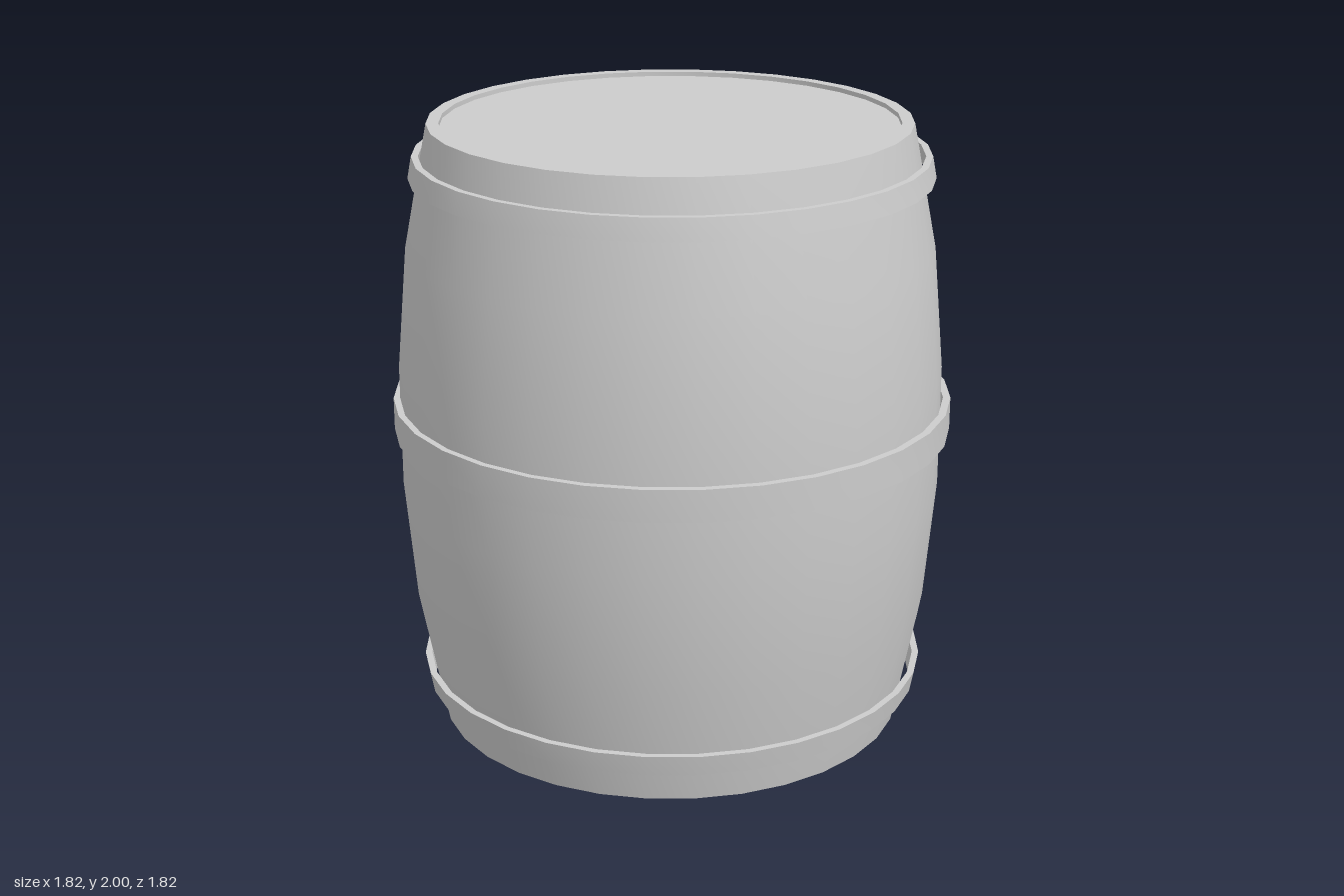
import * as THREE from 'three';
import { toCreasedNormals } from 'three/addons/utils/BufferGeometryUtils.js';

const SIDES = 32;
const material = new THREE.MeshStandardMaterial({ color: 0xcccccc });

// Revolves [radius, y] points, keeping sharp edges sharp
function revolve(name, profile) {
  const points = profile.map(([r, y]) => new THREE.Vector2(r, y));
  const geometry = toCreasedNormals(new THREE.LatheGeometry(points, SIDES), Math.PI / 6);
  const mesh = new THREE.Mesh(geometry, material);
  mesh.name = name;
  return mesh;
}

// Closed band with its own radius at the lower and upper edge
function hoop(name, y0, y1, r0, r1, thickness) {
  return revolve(name, [
    [r0 - thickness, y0], [r0, y0], [r1, y1], [r1 - thickness, y1], [r0 - thickness, y0],
  ]);
}

// Flat disc set slightly inside the rim
function head(name, y, facing) {
  const mesh = new THREE.Mesh(new THREE.CircleGeometry(0.73, SIDES), material);
  mesh.name = name;
  mesh.rotation.x = -facing * Math.PI / 2;
  mesh.rotation.z = Math.PI / 2;
  mesh.position.y = y;
  return mesh;
}

export function createModel() {
  const barrel = new THREE.Group();
  barrel.name = 'barrel';

  // Bulging wall, with a narrow rim and a shallow recess at both ends
  const body = new THREE.Group();
  body.name = 'body';
  body.add(
    revolve('wall', [
      [0.73, 0.015], [0.73, 0], [0.77, 0], [0.848, 0.4], [0.883, 0.8],
      [0.883, 1.2], [0.848, 1.6], [0.77, 2], [0.73, 2], [0.73, 1.985],
    ]),
    head('topHead', 1.985, 1),
    head('bottomHead', 0.015, -1),
  );
  body.position.x = -0.006;
  barrel.add(body);

  // Hoops: the end ones flare towards the middle
  barrel.add(
    hoop('bottomHoop', 0.11, 0.18, 0.825, 0.838, 0.022),
    hoop('middleHoop', 0.99, 1.095, 0.91, 0.91, 0.024),
    hoop('topHoop', 1.825, 1.895, 0.838, 0.825, 0.022),
  );

  return barrel;
}
